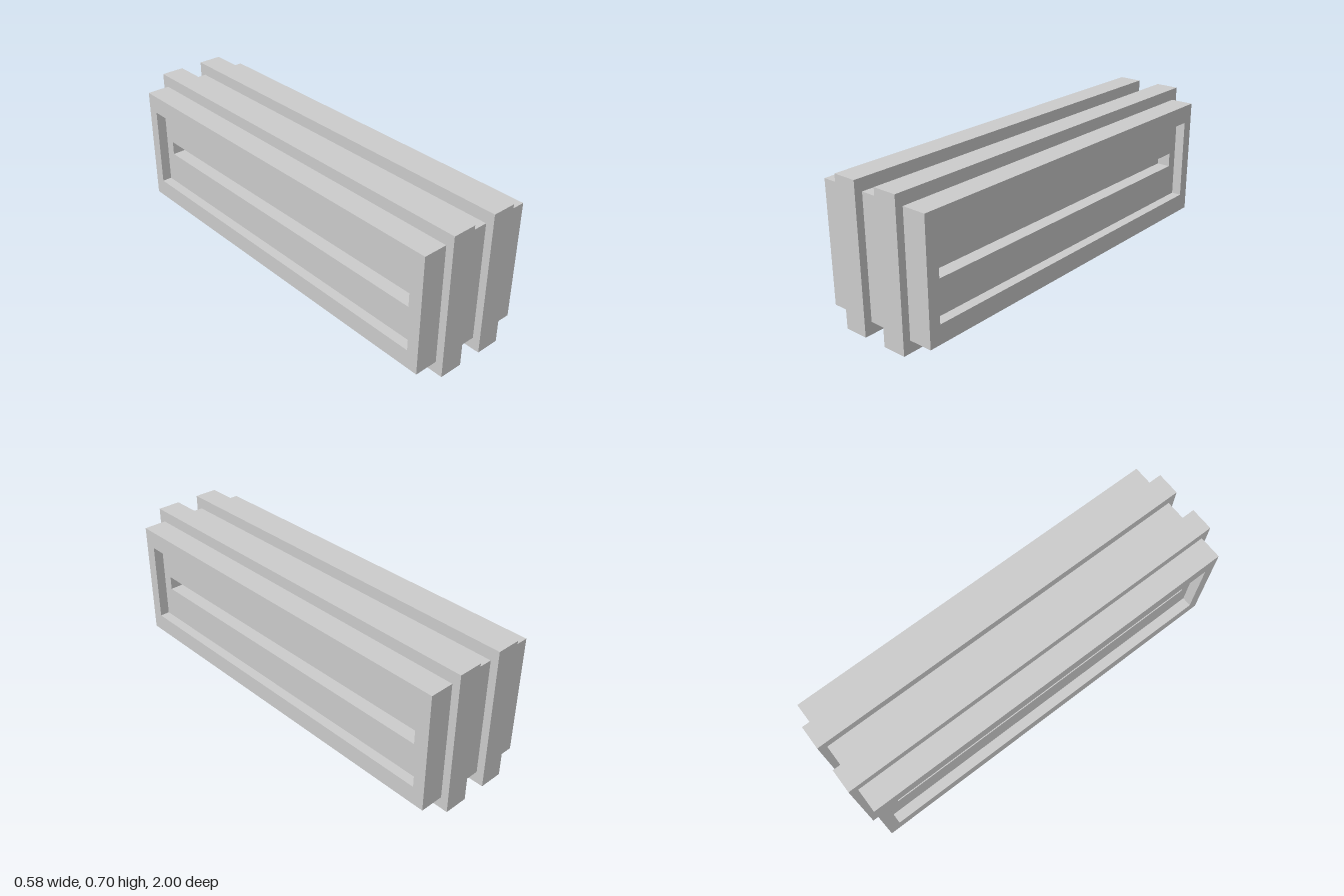
import * as THREE from 'three';

const MID_Y = 0.351;

// Centred rectangle as a closed path; w runs along z, h along y
function rect(path, w, h) {
  path.moveTo(-w / 2, -h / 2);
  path.lineTo(w / 2, -h / 2);
  path.lineTo(w / 2, h / 2);
  path.lineTo(-w / 2, h / 2);
  path.closePath();
  return path;
}

// Rectangular ring in the zy plane, extruded along x from x0 to x1
function ring(outer, inner, x0, x1) {
  const shape = rect(new THREE.Shape(), ...outer);
  shape.holes.push(rect(new THREE.Path(), ...inner));
  const geometry = new THREE.ExtrudeGeometry(shape, { depth: x1 - x0, bevelEnabled: false });
  return geometry.rotateY(Math.PI / 2).translate(x0, 0, 0);
}

export function createModel() {
  const model = new THREE.Group();
  model.name = 'slottedBlock';
  const material = new THREE.MeshStandardMaterial({ color: 0xcccccc, flatShading: true });

  const add = (name, geometry, parent) => {
    const mesh = new THREE.Mesh(geometry, material);
    mesh.name = name;
    parent.add(mesh);
    return mesh;
  };

  const panel = [1.926, 0.585];
  const recess = [1.81, 0.403];
  const slot = [1.706, 0.07];

  // Central core between the two ribs
  add('core', new THREE.BoxGeometry(0.117, panel[1], panel[0]), model).position.y = MID_Y;

  // Each side: projecting rib, outer frame and recessed slotted plate
  for (const [side, angle] of [['left', 0], ['right', Math.PI]]) {
    const half = new THREE.Group();
    half.name = side + 'Side';
    half.position.y = MID_Y;
    half.rotation.y = angle;
    add(side + 'Rib', new THREE.BoxGeometry(0.117, 0.702, 2), half).position.x = 0.117;
    add(side + 'Frame', ring(panel, recess, 0.1755, 0.2925), half);
    add(side + 'SlottedPlate', ring(recess, slot, 0.1755, 0.2435), half);
    model.add(half);
  }
  return model;
}
